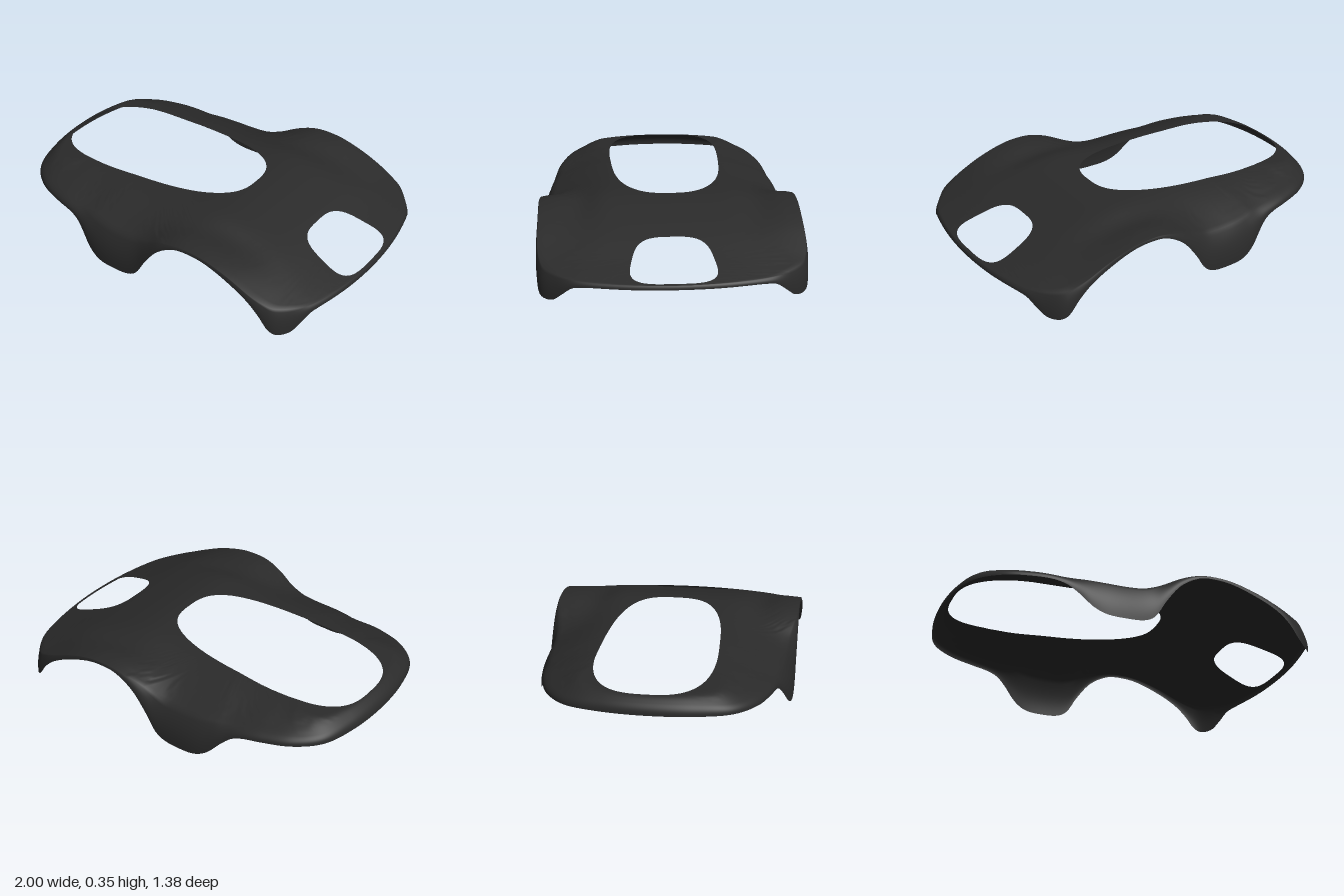
import * as THREE from 'three';
import { mergeVertices } from 'three/addons/utils/BufferGeometryUtils.js';

// Smooth function through [x, y] points
function profile(pts) {
  const slope = (i) => {
    const a = pts[Math.max(i - 1, 0)], b = pts[Math.min(i + 1, pts.length - 1)];
    return (b[1] - a[1]) / (b[0] - a[0]);
  };
  return (x) => {
    if (x <= pts[0][0]) return pts[0][1];
    for (let i = 0; i < pts.length - 1; i++) {
      const [x0, y0] = pts[i], [x1, y1] = pts[i + 1];
      if (x > x1) continue;
      const h = x1 - x0, t = (x - x0) / h, t2 = t * t, t3 = t2 * t;
      return y0 * (2 * t3 - 3 * t2 + 1) + y1 * (3 * t2 - 2 * t3)
        + h * (slope(i) * (t3 - 2 * t2 + t) + slope(i + 1) * (t3 - t2));
    }
    return pts[pts.length - 1][1];
  };
}

// Height along the middle, shoulder height, lower edge, shoulder width, skirt bulge
const crown = profile([[-1, 0.295], [-0.92, 0.305], [-0.5, 0.33], [0, 0.346], [0.25, 0.354], [0.4, 0.334],
  [0.6, 0.28], [0.8, 0.212], [0.9, 0.18], [1, 0.148]]);
const shoulder = profile([[-1, 0.272], [-0.9, 0.26], [-0.6, 0.245], [-0.3, 0.215], [-0.1, 0.215], [0, 0.245],
  [0.1, 0.292], [0.2, 0.323], [0.28, 0.332], [0.4, 0.322], [0.55, 0.277], [0.7, 0.21], [0.8, 0.17],
  [0.9, 0.15], [1, 0.143]]);
const lowerEdge = profile([[-1, 0.222], [-0.6, 0.2], [-0.5, 0.175], [-0.44, 0.125], [-0.37, 0.05], [-0.3, 0.012],
  [-0.2, 0.003], [-0.1, 0.01], [-0.04, 0.045], [0.02, 0.14], [0.1, 0.24], [0.2, 0.302], [0.28, 0.316],
  [0.4, 0.304], [0.55, 0.25], [0.66, 0.19], [0.73, 0.125], [0.78, 0.055], [0.82, 0.026], [0.87, 0.03],
  [0.9, 0.07], [0.93, 0.118], [1, 0.125]]);
const shoulderWidth = profile([[-1, 0.05], [-0.92, 0.1], [-0.7, 0.27], [-0.3, 0.38], [1, 0.38]]);
const bulge = profile([[-1, 0.022], [-0.6, 0.04], [-0.3, 0.055], [0, 0.045], [0.2, 0.008], [0.65, 0.008],
  [0.82, 0.025], [0.93, 0.015], [1, 0.007]]);

// Plan outline, mirrored and evenly sampled
const N = 360;
const half = [[-0.98, 0.23], [-0.92, 0.42], [-0.8, 0.53], [-0.65, 0.588], [-0.48, 0.625], [-0.38, 0.66], [-0.28, 0.68],
  [0, 0.686], [0.4, 0.686], [0.74, 0.686], [0.81, 0.667], [0.88, 0.59], [0.93, 0.49], [0.98, 0.27]];
const plan = [[-1, 0], ...half, [1, 0], ...half.slice().reverse().map(([x, z]) => [x, -z])];
const curve = new THREE.CatmullRomCurve3(plan.map(([x, z]) => new THREE.Vector3(x, 0, z)), true);
curve.arcLengthDivisions = 2000;
const outline = curve.getSpacedPoints(N).slice(0, N);

// Outline pulled inward: the line where the deck turns into the skirt
const outward = outline.map((p, i) => {
  const d = outline[(i + 1) % N].clone().sub(outline[(i + N - 1) % N]).normalize();
  return new THREE.Vector3(-d.z, 0, d.x);
});
const rim = outline.map((p, i) => p.clone().addScaledVector(outward[i], -bulge(p.x)));

// Deck height: a crown rolling down to the shoulder, with a valley inside each wheel arch
function deckHeight(x, z) {
  let best = Infinity, j = 0;
  rim.forEach((p, i) => {
    const d = (p.x - x) ** 2 + (p.z - z) ** 2;
    if (d < best) { best = d; j = i; }
  });
  const xo = outline[j].x;
  const f = Math.sin(Math.min(1, Math.sqrt(best) / shoulderWidth(xo)) * Math.PI / 2);
  const valley = 0.028 * Math.exp(-(((Math.abs(z) - 0.47) / 0.09) ** 2) - ((x - 0.3) / 0.25) ** 2);
  return crown(x) - (crown(xo) - shoulder(xo)) * (1 - f) - valley;
}

// Rounded opening: edge point in the direction of p
function opening(cx, cz, a, b, n, taper) {
  return (p) => {
    const dx = p.x - cx, dz = p.z - cz, l = Math.hypot(dx, dz), c = dx / l, s = dz / l;
    let r = 0;
    for (let i = 0; i < 12; i++) {
      const w = b * (1 + taper * (r * c) / a);
      r = (Math.abs(c / a) ** n + Math.abs(s / w) ** n) ** (-1 / n);
    }
    return new THREE.Vector3(cx + r * c, 0, cz + r * s);
  };
}

// Collects indexed strips between rows of points
const positions = [], indices = [];
function addRows(rows) {
  const base = positions.length / 3, m = rows[0].length;
  rows.forEach((row) => row.forEach((p) => positions.push(p.x, p.y, p.z)));
  for (let r = 0; r < rows.length - 1; r++) {
    for (let i = 0; i < m; i++) {
      const k = (i + 1) % m, o = base + r * m, q = o + m;
      indices.push(o + i, o + k, q + i, o + k, q + k, q + i);
    }
  }
}

// Deck ring from an outer loop inward to an opening
function addDeck(loop, edge, steps) {
  const rows = [];
  for (let r = 0; r <= steps; r++) {
    rows.push(loop.map((p) => {
      const q = p.clone().lerp(edge(p), r / steps);
      q.y = deckHeight(q.x, q.z);
      return q;
    }));
  }
  addRows(rows);
}

export function createModel() {
  const group = new THREE.Group();
  group.name = 'bodyShell';
  positions.length = indices.length = 0;

  // Split the deck across the car so each half holds one opening
  const k = rim.findIndex((p) => p.x >= 0.45);
  const A = rim[k], B = rim[N - k], seam = [];
  for (let i = 1; i < 50; i++) seam.push(A.clone().lerp(B, i / 50));
  addDeck([...rim.slice(0, k + 1), ...seam, ...rim.slice(N - k)],
    opening(-0.34, -0.012, 0.592, 0.308, 2.9, -0.1), 14);
  addDeck([...rim.slice(k, N - k + 1), ...seam.slice().reverse()],
    opening(0.815, 0.004, 0.165, 0.207, 3.4, 0.16), 12);

  // Skirt with wheel arches, from the lower edge up to the shoulder
  const skirt = [], steps = 10;
  for (let r = 0; r <= steps; r++) {
    const u = 1 - r / steps;
    skirt.push(rim.map((p, i) => {
      const x = outline[i].x, top = deckHeight(p.x, p.z);
      const q = p.clone().addScaledVector(outward[i], bulge(x) * (1 - (1 - u) ** 2.4));
      q.y = top + (Math.min(lowerEdge(x), top - 0.005) - top) * u;
      return q;
    }));
  }
  addRows(skirt);

  let geometry = new THREE.BufferGeometry();
  geometry.setAttribute('position', new THREE.Float32BufferAttribute(positions, 3));
  geometry.setIndex(indices);
  geometry = mergeVertices(geometry, 1e-4);
  geometry.computeVertexNormals();

  const black = new THREE.MeshStandardMaterial({ color: 0x2a2a2a, side: THREE.DoubleSide });
  black.name = 'satinBlack';
  const shell = new THREE.Mesh(geometry, black);
  shell.name = 'shell';
  group.add(shell);
  return group;
}
